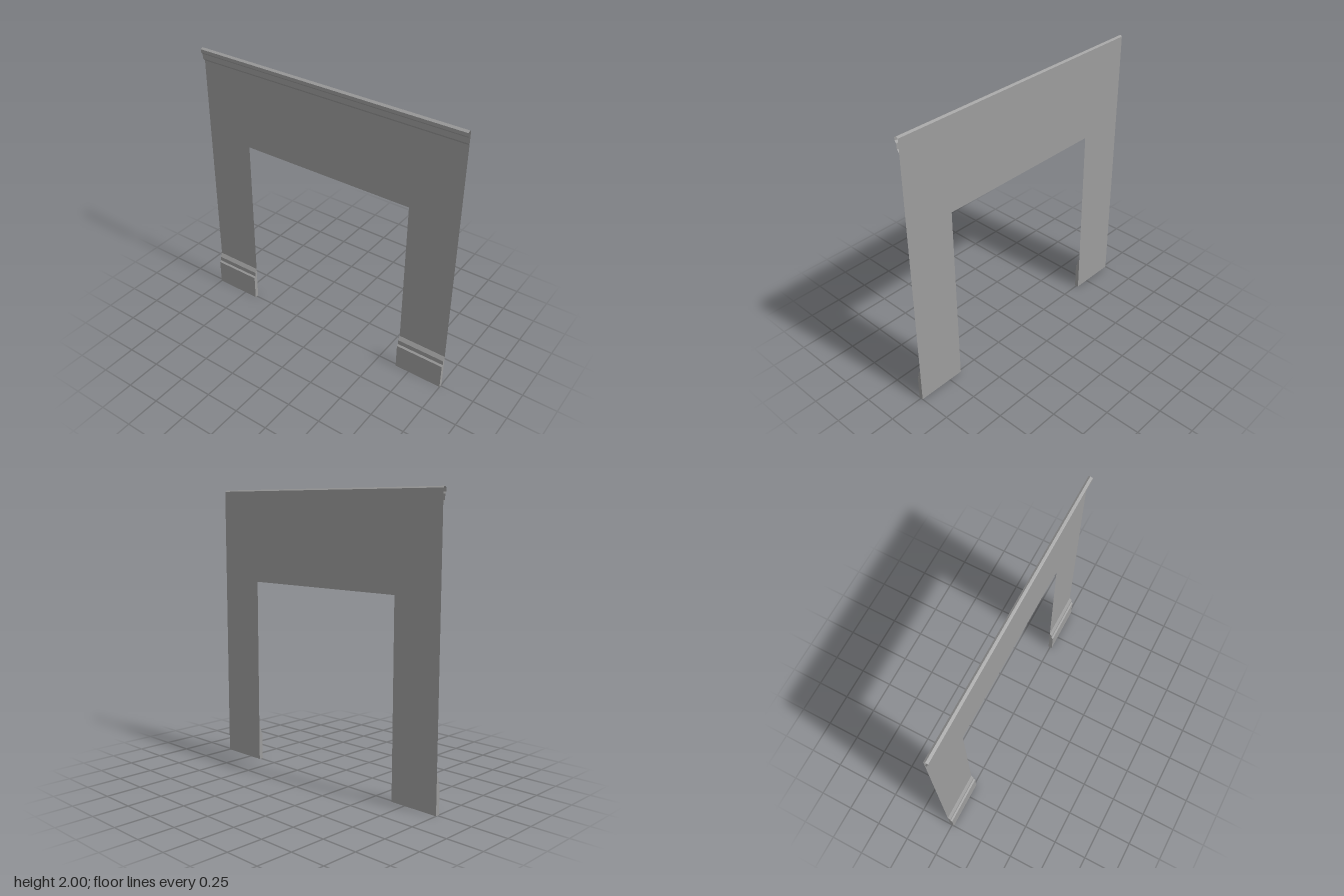
import * as THREE from 'three';

const material = new THREE.MeshStandardMaterial({ color: 0x9c9c9c, flatShading: true, side: THREE.DoubleSide });
const BACK = -0.015, FRONT = 0.015;   // wall plane and foremost moulding face
const OPEN_X = 0.645, OPEN_Y = 1.34;  // doorway half width and height

function addMesh(parent, geometry, name) {
  const mesh = new THREE.Mesh(geometry, material);
  mesh.name = name;
  parent.add(mesh);
  return mesh;
}

// Sweeps a [z, y] profile, listed from top to bottom, along x
function sweep(profile, x0, x1) {
  const positions = [];
  for (let i = 0; i < profile.length - 1; i++) {
    const [az, ay] = profile[i], [bz, by] = profile[i + 1];
    positions.push(x0, ay, az, x0, by, bz, x1, by, bz);
    positions.push(x0, ay, az, x1, by, bz, x1, ay, az);
  }
  const geometry = new THREE.BufferGeometry();
  geometry.setAttribute('position', new THREE.Float32BufferAttribute(positions, 3));
  geometry.computeVertexNormals();
  return geometry;
}

export function createModel() {
  const model = new THREE.Group();
  model.name = 'doorwayWall';

  // Thin wall sheet with the doorway cut out from below
  const outline = [
    [-1, 0], [-OPEN_X, 0], [-OPEN_X, OPEN_Y], [OPEN_X, OPEN_Y],
    [OPEN_X, 0], [1, 0], [1, 1.99], [-1, 1.99],
  ].map(([x, y]) => new THREE.Vector2(x, y));
  addMesh(model, new THREE.ShapeGeometry(new THREE.Shape(outline)), 'wall').position.z = BACK;

  // Stepped crown moulding with a slightly peaked top, open at its ends
  const crown = [
    [BACK, 1.99], [-0.002, 2], [FRONT, 1.99], [FRONT, 1.968],
    [0.003, 1.955], [0.001, 1.918], [BACK, 1.9],
  ];
  addMesh(model, sweep(crown, -1, 1), 'crownMoulding');

  // Skirting board at the foot of each pier, closed at both ends and open below
  const skirting = [
    [BACK, 0.263], [0.003, 0.235], [0.003, 0.2], [FRONT, 0.19], [FRONT, 0],
  ];
  const capShape = new THREE.Shape([...skirting, [BACK, 0]].map(([z, y]) => new THREE.Vector2(z, y)));
  for (const [name, x0, x1] of [['rightSkirting', -1, -OPEN_X], ['leftSkirting', OPEN_X, 1]]) {
    const board = new THREE.Group();
    board.name = name;
    addMesh(board, sweep(skirting, x0, x1), 'skirtingFace');
    for (const x of [x0, x1]) {
      const cap = new THREE.ShapeGeometry(capShape).rotateY(-Math.PI / 2);
      addMesh(board, cap, 'skirtingEnd').position.x = x;
    }
    model.add(board);
  }
  return model;
}
